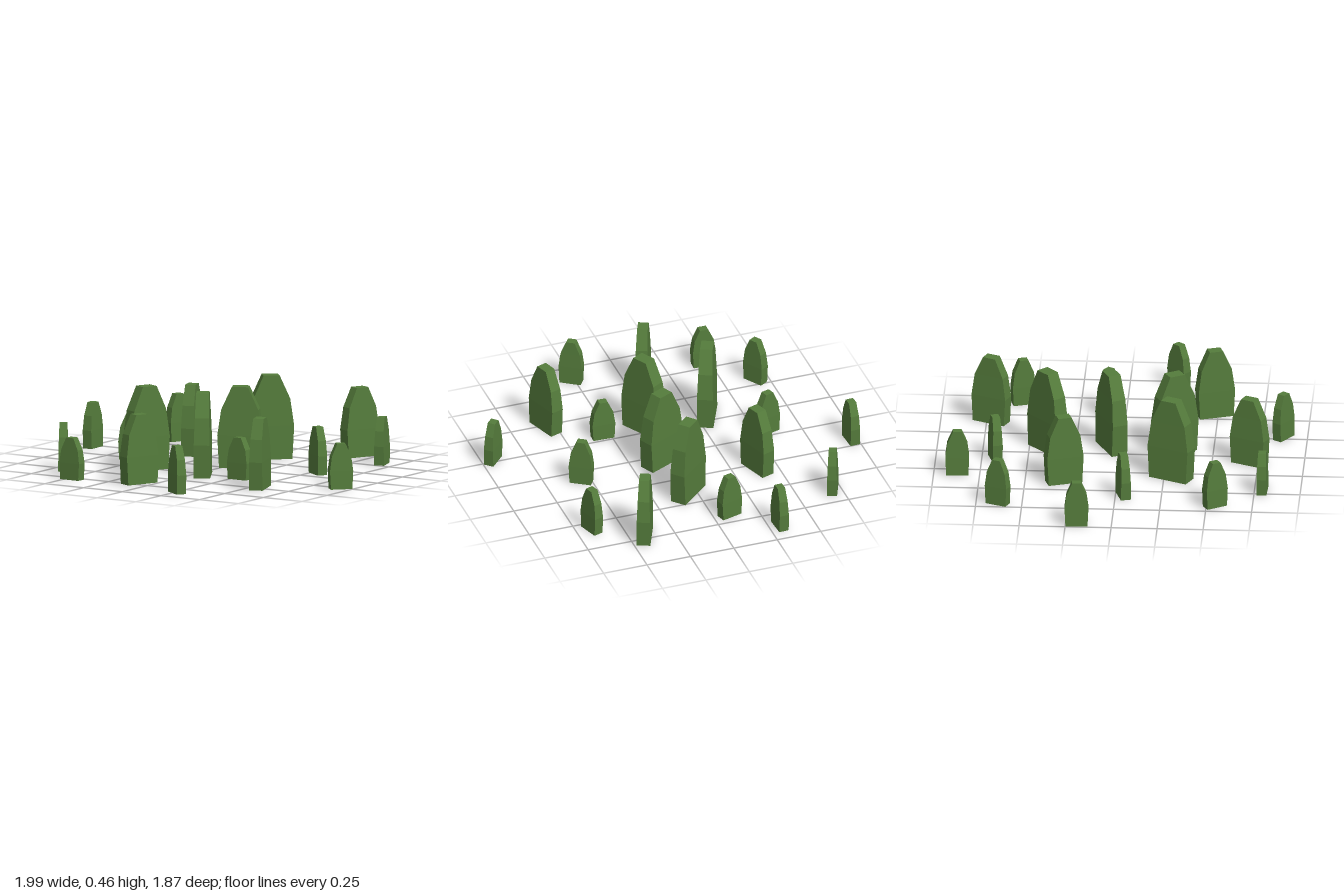
import * as THREE from 'three';

// Cross-sections of one leaf-shaped slab: height, width and thickness as fractions
const RINGS = [
  [0, 0.92, 1],
  [0.4, 1, 0.97],
  [0.72, 0.83, 0.86],
  [1, 0.36, 0.77],
];

// Slab with a slightly narrow foot, a belly and a tapering flat top
function slabGeometry(width, height, thickness) {
  const box = new THREE.BoxGeometry(1, 1, 1, 1, RINGS.length - 1, 1);
  const p = box.attributes.position;
  for (let i = 0; i < p.count; i++) {
    const [y, w, t] = RINGS[Math.round((p.getY(i) + 0.5) * (RINGS.length - 1))];
    p.setXYZ(i, p.getX(i) * w * width, y * height, p.getZ(i) * t * thickness);
  }
  const flat = box.toNonIndexed();
  flat.computeVertexNormals();
  return flat;
}

// Each size: width, thickness, then places as [x, z, turn in degrees, height]
const SIZES = [
  { name: 'largeLeaf', width: 0.245, thickness: 0.09, places: [
    [0.05, -0.4, 42, 0.46],
    [0.08, -0.055, 26, 0.445],
    [0.06, 0.29, -60, 0.455],
    [-0.305, 0.29, 65, 0.46],
  ] },
  { name: 'mediumLeaf', width: 0.205, thickness: 0.075, places: [
    [0.415, -0.725, 66, 0.38],
    [-0.387, -0.29, -71, 0.385],
    [0.555, 0.483, -71, 0.385],
    [-0.083, 0.704, 66, 0.38],
  ] },
  { name: 'smallLeaf', width: 0.13, thickness: 0.055, places: [
    [-0.31, -0.872, -87, 0.255],
    [-0.09, -0.677, 16, 0.25],
    [-0.7, -0.632, 67, 0.26],
    [0.663, -0.565, -72, 0.26],
    [-0.963, -0.19, -87, 0.25],
    [-0.565, 0.043, 17, 0.25],
    [0.555, -0.093, -33, 0.26],
    [0.297, 0.29, -2, 0.23],
    [0.935, 0.267, 47, 0.25],
    [-0.675, 0.547, -58, 0.26],
    [-0.46, 0.793, -2, 0.23],
    [0.27, 0.87, -34, 0.26],
  ] },
];

export function createModel() {
  const group = new THREE.Group();
  group.name = 'leafCluster';
  const green = new THREE.MeshStandardMaterial({ color: 0x557c3c });
  green.name = 'leafGreen';

  // Scatter the slabs, each turned about the vertical
  for (const { name, width, thickness, places } of SIZES) {
    places.forEach(([x, z, turn, height], i) => {
      const leaf = new THREE.Mesh(slabGeometry(width, height, thickness), green);
      leaf.name = `${name}${i + 1}`;
      leaf.position.set(x, 0, z);
      leaf.rotation.y = THREE.MathUtils.degToRad(turn);
      group.add(leaf);
    });
  }
  return group;
}
